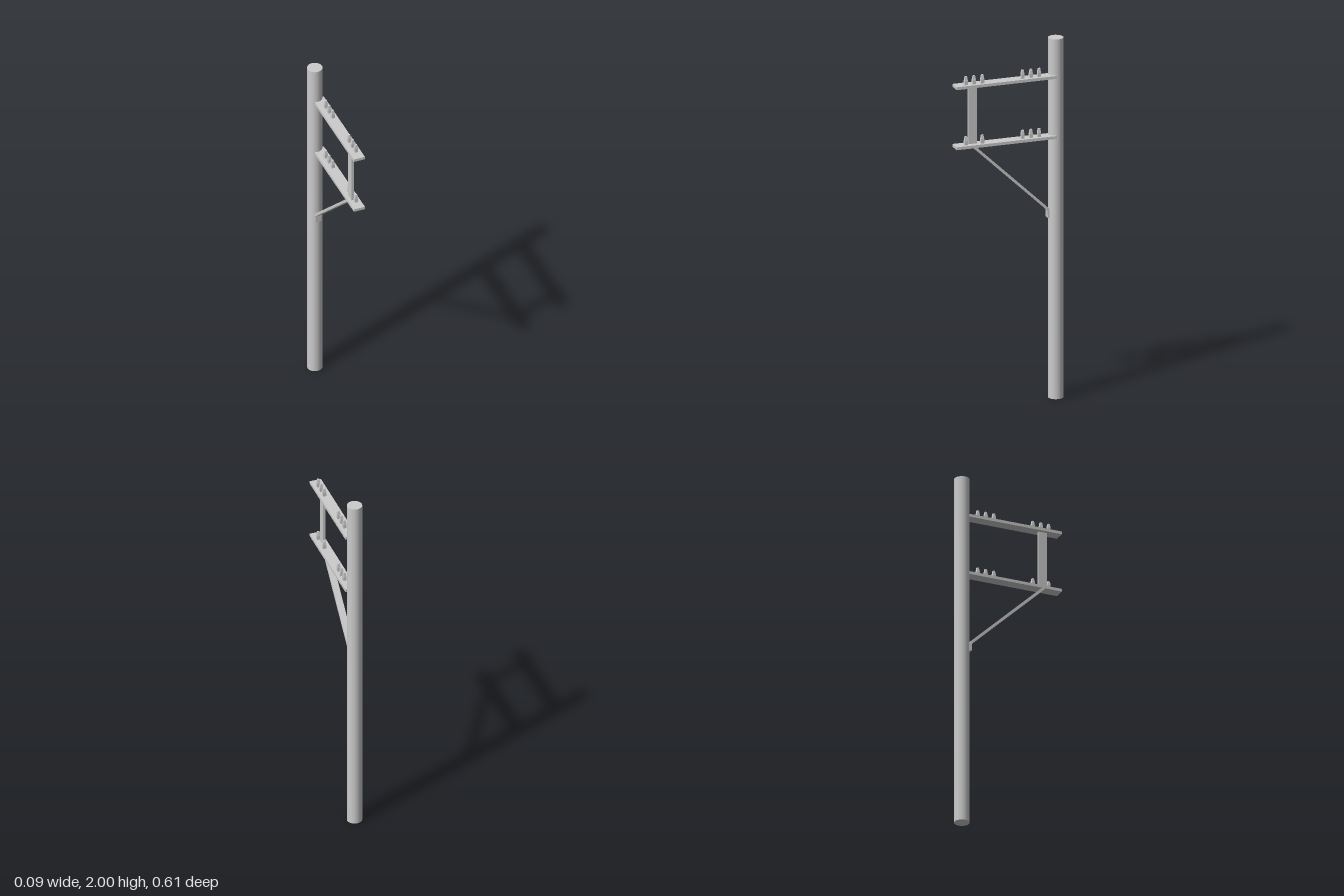
import * as THREE from 'three';

const material = new THREE.MeshStandardMaterial({ color: 0xcccccc });
const flat = new THREE.MeshStandardMaterial({ color: 0xcccccc, flatShading: true });

const POLE = { x: -0.004, z: -0.267, r: 0.041 };
const ARM_TOPS = [1.466, 1.8]; // upper faces of the two crossarms
const ARM_THICK = 0.016;

export function createModel() {
  const model = new THREE.Group();
  model.name = 'utilityPole';

  const add = (name, geometry, x, y, z, mat = material) => {
    const mesh = new THREE.Mesh(geometry, mat);
    mesh.name = name;
    mesh.position.set(x, y, z);
    model.add(mesh);
    return mesh;
  };

  // Round pole
  add('pole', new THREE.CylinderGeometry(POLE.r, POLE.r, 2, 32), POLE.x, 1, POLE.z);

  // Square insulator pin: straight foot, tapered head
  const half = Math.SQRT2;
  const pinGeometry = new THREE.LatheGeometry([
    new THREE.Vector2(0, 0),
    new THREE.Vector2(0.009 * half, 0),
    new THREE.Vector2(0.009 * half, 0.022),
    new THREE.Vector2(0.0055 * half, 0.046),
    new THREE.Vector2(0, 0.046),
  ], 4, Math.PI / 4);

  // Flat crossarms with two rows of three pins
  const pinZ = [-0.166, -0.12, -0.073, 0.153, 0.2, 0.245];
  ARM_TOPS.forEach((top, level) => {
    const label = level ? 'upper' : 'lower';
    add(`${label}Crossarm`, new THREE.BoxGeometry(0.063, ARM_THICK, 0.563),
      0.0115, top - ARM_THICK / 2, 0.0245);
    pinZ.forEach((z, i) => {
      if (level === 0 && i === 4) return; // the spacer post stands here
      add(`${label}Insulator${i + 1}`, pinGeometry, 0.017, top, z, flat);
    });
  });

  // Spacer post between the crossarms
  const postHeight = ARM_TOPS[1] - ARM_THICK - ARM_TOPS[0];
  add('spacerPost', new THREE.BoxGeometry(0.014, postHeight, 0.048),
    0.006, ARM_TOPS[0] + postHeight / 2, 0.204);

  // Diagonal brace bent down into a foot against the pole
  const braceSide = new THREE.Shape([
    [-0.227, 1.005], [-0.217, 1.005], [-0.215, 1.047], [0.207, 1.446],
    [0.202, 1.453], [0.193, 1.453], [-0.222, 1.06], [-0.227, 1.05],
  ].map(([z, y]) => new THREE.Vector2(z, y)));
  const brace = new THREE.ExtrudeGeometry(braceSide, { depth: 0.036, bevelEnabled: false });
  brace.rotateY(-Math.PI / 2);
  add('diagonalBrace', brace, 0.014, 0, 0);

  return model;
}
